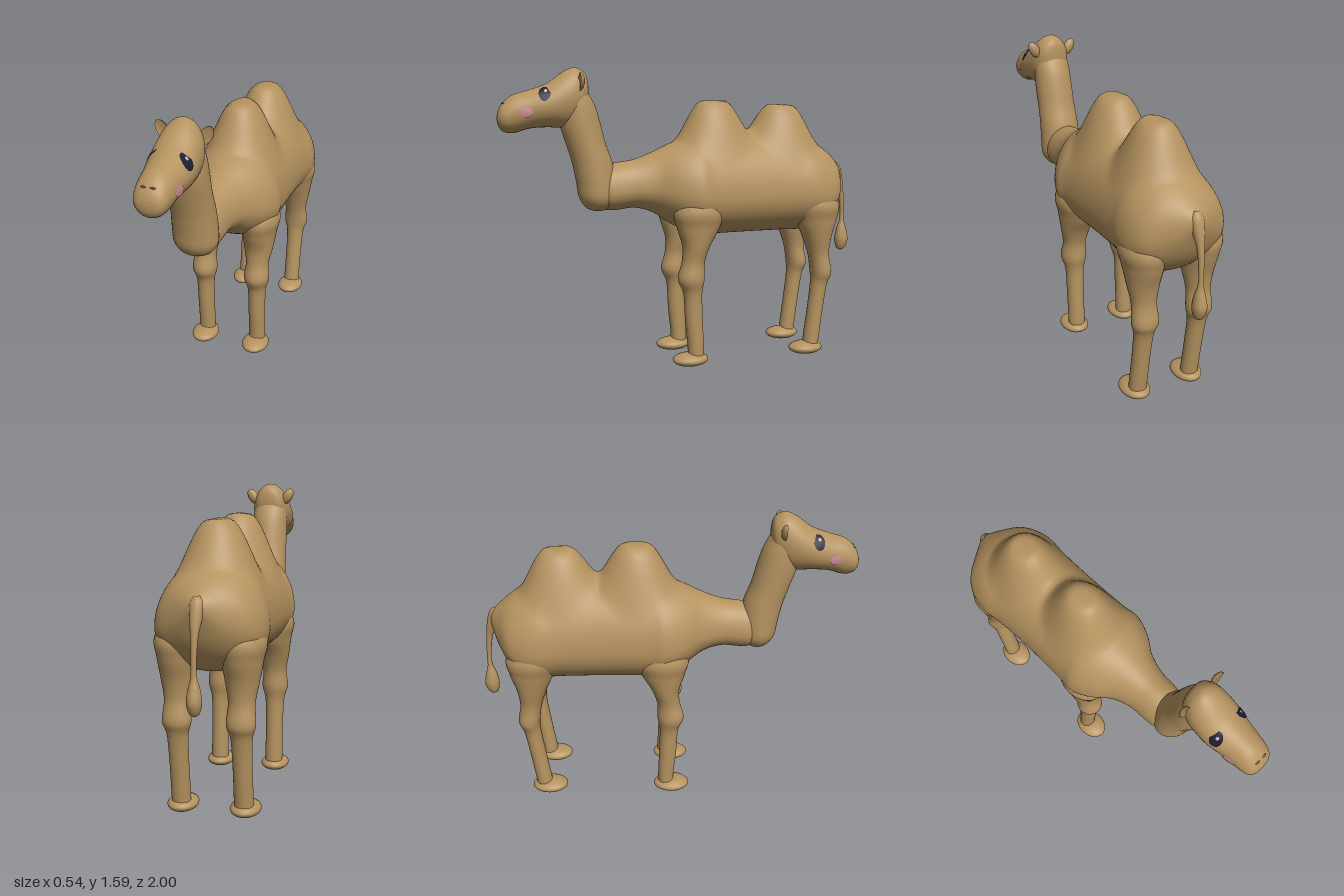
import * as THREE from 'three';

const material = (name, color) => {
  const m = new THREE.MeshStandardMaterial({ color });
  m.name = name;
  return m;
};

// Smooth closed skin through cross-sections [t, low, high, halfWidth, xCentre].
// Axis 'z': t is z and low/high are y, listed by rising z.
// Axis 'y': t is y and low/high are z, listed from the top down.
function loft(axis, sections, { mid = 0.5, sides = 32, steps = 6, rule } = {}) {
  const rows = sections.map(([t, lo, hi, w, x = 0]) => [t, lo, hi, w, x]);
  const spline = new THREE.CubicInterpolant(
    rows.map((_, i) => i), rows.flat(), 5, new Float32Array(5));
  const count = (rows.length - 1) * steps;
  const positions = [], indices = [];
  for (let i = 0; i <= count; i++) {
    const [t, lo, hi, w, xc] = spline.evaluate(i / steps);
    const centre = lo + (hi - lo) * mid;
    for (let j = 0; j < sides; j++) {
      const a = (j / sides) * Math.PI * 2;
      const x = xc + Math.max(w, 0) * Math.cos(a);
      const s = Math.sin(a);
      const v = centre + s * (s > 0 ? hi - centre : centre - lo);
      const p = axis === 'z' ? new THREE.Vector3(x, v, t) : new THREE.Vector3(x, t, v);
      if (rule) rule(p, s);
      positions.push(p.x, p.y, p.z);
      if (i === count) continue;
      const k = i * sides + j, n = i * sides + ((j + 1) % sides);
      indices.push(k, n, n + sides, k, n + sides, k + sides);
    }
  }
  const g = new THREE.BufferGeometry();
  g.setAttribute('position', new THREE.Float32BufferAttribute(positions, 3));
  g.setIndex(indices);
  g.computeVertexNormals();
  return g;
}

// Thin oval that bends over a rounded surface, facing +z
function patch(a, b, lift, bend) {
  const g = new THREE.RingGeometry(0, 1, 28, 5);
  const p = g.attributes.position;
  for (let i = 0; i < p.count; i++) {
    const x = p.getX(i) * a, y = p.getY(i) * b;
    p.setXYZ(i, x, y, lift - (y * y) / (2 * bend) - (x * x) / 0.8);
  }
  g.computeVertexNormals();
  return g;
}

// Ear: an ellipsoid whose front half is pushed in to form a cup
function earGeometry() {
  const g = new THREE.SphereGeometry(1, 24, 24);
  const p = g.attributes.position;
  for (let i = 0; i < p.count; i++) {
    const z = p.getZ(i);
    p.setXYZ(i, p.getX(i) * 0.03, p.getY(i) * 0.05, z > 0 ? z * -0.006 : z * 0.026);
  }
  g.computeVertexNormals();
  return g;
}

export function createModel() {
  const model = new THREE.Group();
  model.name = 'camel';
  const fur = material('tan fur', 0xb59360);
  const dark = material('dark eye', 0x1d1c33);
  const pink = material('pink cheek', 0xc98a90);
  const shine = material('eye shine', 0xd9b3b8);
  const brown = material('brown nostril', 0x7d5f3a);

  const add = (name, geometry, mat, x = 0, y = 0, z = 0, parent = model) => {
    const mesh = new THREE.Mesh(geometry, mat);
    mesh.name = name;
    mesh.position.set(x, y, z);
    parent.add(mesh);
    return mesh;
  };

  // Trunk, with two humps raised out of the back
  const humps = [[-0.15, 0.185], [-0.55, 0.17]];
  const raiseHumps = (p, s) => {
    if (s <= 0) return;
    let rise = 0;
    for (const [z, height] of humps) {
      const r = Math.hypot(p.x, p.z - z);
      rise += height * (1 - THREE.MathUtils.smoothstep(r, 0.06, 0.23));
    }
    p.y += rise;
  };
  add('body', loft('z', [
    [-0.932, 1.02, 1.02, 0],
    [-0.915, 0.96, 1.06, 0.05],
    [-0.875, 0.86, 1.10, 0.13],
    [-0.82, 0.78, 1.145, 0.215],
    [-0.75, 0.72, 1.19, 0.255],
    [-0.66, 0.70, 1.225, 0.268],
    [-0.55, 0.70, 1.235, 0.256],
    [-0.35, 0.70, 1.24, 0.25],
    [-0.1, 0.70, 1.24, 0.255],
    [0, 0.715, 1.23, 0.264],
    [0.1, 0.765, 1.195, 0.225],
    [0.2, 0.83, 1.15, 0.155],
    [0.3, 0.858, 1.115, 0.122],
    [0.4, 0.85, 1.10, 0.115],
    [0.46, 0.855, 1.085, 0.105],
    [0.52, 0.9, 1.04, 0.06],
  ], { mid: 0.4, sides: 72, steps: 10, rule: raiseHumps }), fur);

  // Neck, rounded off at its base
  add('neck', loft('y', [
    [1.5, 0.56, 0.67, 0.085],
    [1.4, 0.505, 0.69, 0.1],
    [1.3, 0.475, 0.685, 0.105],
    [1.2, 0.45, 0.655, 0.106],
    [1.1, 0.415, 0.625, 0.11],
    [1.0, 0.40, 0.605, 0.115],
    [0.92, 0.40, 0.592, 0.112],
    [0.87, 0.43, 0.56, 0.08],
    [0.852, 0.465, 0.525, 0.04],
    [0.847, 0.495, 0.495, 0],
  ], { sides: 40 }), fur);

  // Head and muzzle
  add('head', loft('z', [
    [0.538, 1.48, 1.48, 0],
    [0.545, 1.41, 1.54, 0.05],
    [0.565, 1.35, 1.572, 0.08],
    [0.61, 1.30, 1.59, 0.103],
    [0.67, 1.285, 1.565, 0.112],
    [0.75, 1.288, 1.508, 0.112],
    [0.84, 1.282, 1.475, 0.096],
    [0.92, 1.26, 1.45, 0.086],
    [0.97, 1.268, 1.41, 0.073],
    [0.993, 1.295, 1.37, 0.045],
    [1.0, 1.33, 1.335, 0],
  ], { sides: 48 }), fur);

  // Tail with a tuft
  add('tail', loft('y', [
    [1.08, -0.91, -0.88, 0.012],
    [1.05, -0.935, -0.87, 0.032],
    [0.99, -0.952, -0.89, 0.03],
    [0.91, -0.964, -0.928, 0.018],
    [0.8, -0.972, -0.948, 0.013],
    [0.73, -0.975, -0.946, 0.015],
    [0.68, -0.988, -0.93, 0.027],
    [0.62, -1.0, -0.921, 0.035],
    [0.57, -0.982, -0.932, 0.023],
    [0.553, -0.957, -0.957, 0],
  ], { sides: 24 }), fur);

  const ear = earGeometry();
  const foot = new THREE.SphereGeometry(1, 32, 20);

  for (const side of [1, -1]) {
    const label = side > 0 ? 'left' : 'right';

    // Legs, broad where they run into shoulder and haunch
    const leg = (name, rows, footZ) => {
      add(name, loft('y', rows.map(([y, lo, hi, w, x = 0.155]) => [y, lo, hi, w, x * side])), fur);
      add(name + 'Foot', foot, fur, 0.156 * side, 0.039, footZ).scale.set(0.075, 0.036, 0.098);
    };
    leg(label + 'FrontLeg', [
      [1.02, -0.07, 0.03, 0.05, 0.13],
      [0.86, -0.15, 0.12, 0.108, 0.152],
      [0.76, -0.13, 0.105, 0.094],
      [0.66, -0.075, 0.075, 0.08],
      [0.57, -0.045, 0.078, 0.063],
      [0.48, -0.044, 0.1, 0.07],
      [0.4, -0.032, 0.07, 0.051],
      [0.25, -0.036, 0.06, 0.047],
      [0.1, -0.042, 0.045, 0.047],
      [0.04, -0.042, 0.045, 0.047],
    ], 0.032);
    leg(label + 'HindLeg', [
      [1.02, -0.74, -0.63, 0.05, 0.13],
      [0.87, -0.835, -0.56, 0.11, 0.154],
      [0.77, -0.828, -0.59, 0.098],
      [0.67, -0.798, -0.635, 0.081],
      [0.57, -0.787, -0.67, 0.064],
      [0.47, -0.803, -0.687, 0.07],
      [0.4, -0.78, -0.688, 0.052],
      [0.25, -0.757, -0.67, 0.047],
      [0.1, -0.738, -0.65, 0.047],
      [0.04, -0.73, -0.643, 0.047],
    ], -0.658);

    // Ears
    add(label + 'Ear', ear, fur, 0.106 * side, 1.515, 0.6).rotation.z = -0.55 * side;

    // Eyes
    const eye = new THREE.Group();
    eye.name = label + 'Eye';
    eye.position.set(0.084 * side, 1.455, 0.77);
    eye.lookAt(eye.position.x + 0.76 * side, eye.position.y + 0.6, eye.position.z + 0.2);
    model.add(eye);
    add('pupil', patch(0.03, 0.044, 0.007, 0.11), dark, 0, 0, 0, eye);
    add('highlight', patch(0.008, 0.01, 0.009, 0.11), shine, 0.004, 0.012, 0, eye);

    // Cheeks and nostrils
    const cheek = add(label + 'Cheek', patch(0.032, 0.025, 0.005, 0.1), pink, 0.092 * side, 1.362, 0.865);
    cheek.lookAt(cheek.position.x + side, 1.362, 0.865 + 0.15);
    add(label + 'Nostril', new THREE.SphereGeometry(1, 16, 10), brown, 0.021 * side, 1.407, 0.969)
      .scale.set(0.014, 0.004, 0.006);
  }
  return model;
}
